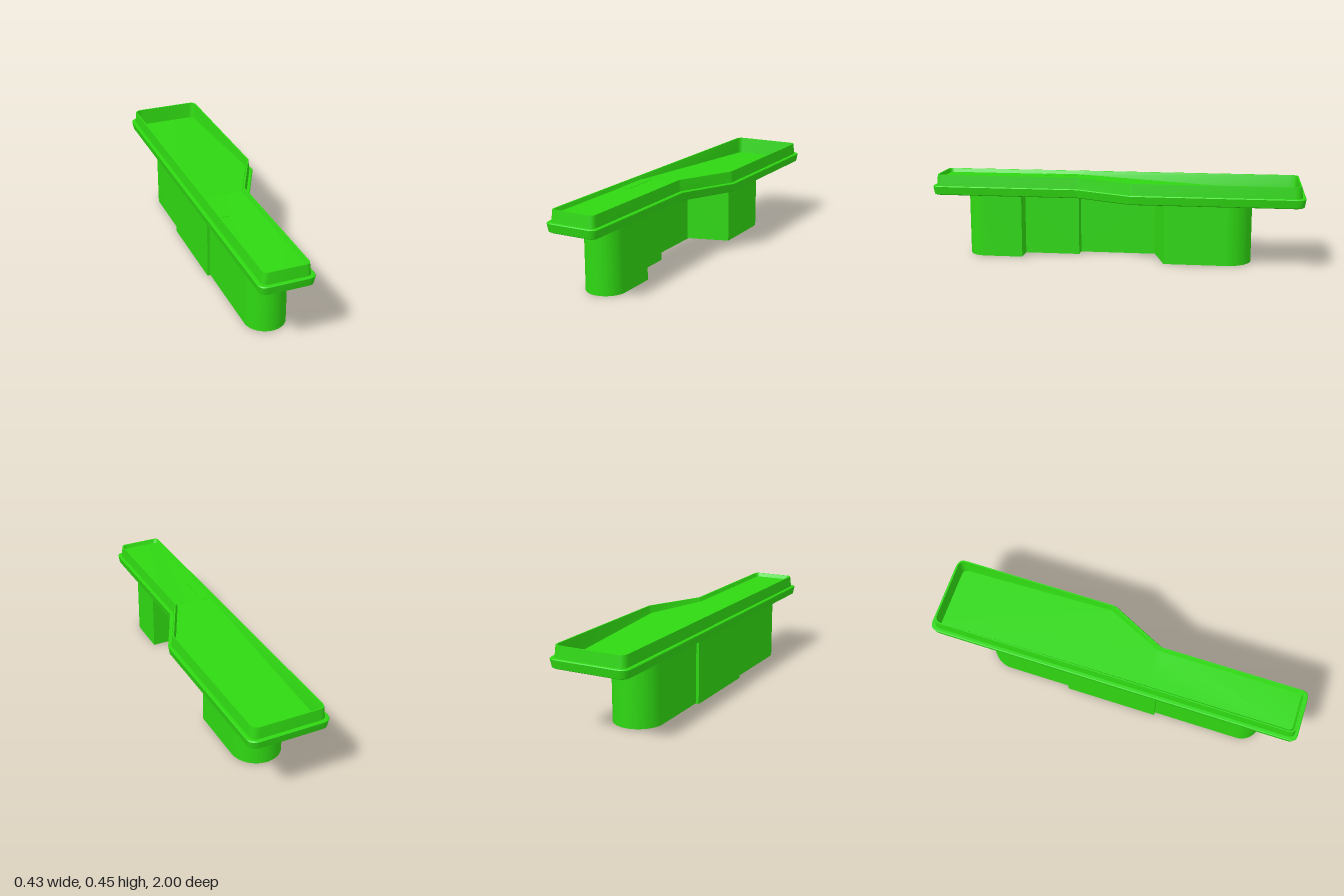
import * as THREE from 'three';
import { toCreasedNormals } from 'three/addons/utils/BufferGeometryUtils.js';

const green = new THREE.MeshStandardMaterial({ color: 0x2fd812 });

// Plan corners of the tray: [x, z, corner radius], counter-clockwise from above
const CORNERS = [
  [-0.215, 1, 0.04], [0.068, 1, 0.04], [0.068, 0.2, 0.01], [0.215, -0.1, 0.01],
  [0.215, -1, 0.05], [-0.215, -1, 0.05], [-0.215, 0.2, 0.01],
];
const STEPS = 6;
const KINK = 0.2;

// The floor is shallow at the narrow end and deepens towards the wide end
const floorY = (z) => 0.43 - 0.07 * THREE.MathUtils.clamp((KINK - z) / 1.15, 0, 1);

// Rounded plan outline, moved inwards by a given amount
function outline(inset) {
  const n = CORNERS.length;
  const corners = CORNERS.map(([x, z], i) => {
    const p = new THREE.Vector2(x, z);
    const normal = (a, b) => {
      const d = new THREE.Vector2(b[0] - a[0], b[1] - a[1]).normalize();
      return new THREE.Vector2(d.y, -d.x);
    };
    const n1 = normal(CORNERS[(i + n - 1) % n], CORNERS[i]);
    const n2 = normal(CORNERS[i], CORNERS[(i + 1) % n]);
    const m = n1.clone().add(n2);
    return p.add(m.multiplyScalar(inset / (1 + n1.dot(n2))));
  });
  const points = [];
  corners.forEach((c, i) => {
    const r = Math.max(CORNERS[i][2] - inset * 0.5, 0.006);
    const toward = (q) => c.clone().add(q.clone().sub(c).setLength(r));
    const a = toward(corners[(i + n - 1) % n]);
    const b = toward(corners[(i + 1) % n]);
    points.push(...new THREE.QuadraticBezierCurve(a, c, b).getPoints(STEPS - 1));
  });
  return points;
}

function trayGeometry() {
  // Section of the edge: [inset, height]; a null height follows the floor
  const section = [
    [0.016, 0.34], [0.007, 0.345], [0, 0.386], [0.004, 0.39], [0.018, 0.39],
    [0.024, 0.45], [0.031, 0.45], [0.04, null],
  ];
  const rings = section.map(([inset, y]) =>
    outline(inset).map((p) => new THREE.Vector3(p.x, y ?? floorY(p.y), p.y)));
  const positions = [];
  const triangle = (...v) => v.forEach((p) => positions.push(p.x, p.y, p.z));
  for (let k = 0; k < rings.length - 1; k++) {
    const a = rings[k], b = rings[k + 1];
    for (let i = 0; i < a.length; i++) {
      const j = (i + 1) % a.length;
      triangle(a[i], a[j], b[j]);
      triangle(a[i], b[j], b[i]);
    }
  }
  const cap = (ring, up) => {
    const flat = ring.map((p) => new THREE.Vector2(p.x, p.z));
    for (const [i, j, k] of THREE.ShapeUtils.triangulateShape(flat, [])) {
      const [a, b, c] = [ring[i], ring[j], ring[k]];
      const facing = b.clone().sub(a).cross(c.clone().sub(a)).y;
      if (facing * up > 0) triangle(a, b, c);
      else triangle(a, c, b);
    }
  };
  // Underside, then the floor in two halves joined at the kink
  cap(rings[0], -1);
  const floor = rings[rings.length - 1];
  const right = 2 * STEPS + 2, left = 6 * STEPS + 2;
  cap(floor.slice(right, left + 1), 1);
  cap([...floor.slice(left), ...floor.slice(0, right + 1)], 1);

  const geometry = new THREE.BufferGeometry();
  geometry.setAttribute('position', new THREE.Float32BufferAttribute(positions, 3));
  return toCreasedNormals(geometry, 0.6);
}

// Upright solid from a plan shape whose y runs along -z
function upright(shape, bottom, top) {
  const geometry = new THREE.ExtrudeGeometry(shape, {
    depth: top - bottom, bevelEnabled: false, curveSegments: 24,
  });
  geometry.rotateX(-Math.PI / 2).translate(0, bottom, 0);
  return toCreasedNormals(geometry, 0.6);
}

export function createModel() {
  const group = new THREE.Group();
  const add = (name, geometry) => {
    const mesh = new THREE.Mesh(geometry, green);
    mesh.name = name;
    group.add(mesh);
    return mesh;
  };

  add('tray', trayGeometry());

  // Front leg: rounded at the front, stepped in on its right-hand rear
  const front = new THREE.Shape();
  front.moveTo(-0.17, -0.21);
  front.lineTo(-0.17, -0.715);
  front.absarc(-0.065, -0.715, 0.105, Math.PI, Math.PI * 2, false);
  front.lineTo(0.04, -0.51);
  front.lineTo(-0.06, -0.51);
  front.lineTo(-0.06, -0.21);
  front.closePath();
  add('frontLeg', upright(front, 0.003, 0.345));

  // Back leg: slanted front face, rounded back
  const back = new THREE.Shape();
  back.moveTo(-0.17, 0.19);
  back.lineTo(0.095, 0.27);
  back.lineTo(0.095, 0.598);
  back.absarc(-0.0375, 0.598, 0.1325, 0, Math.PI, false);
  back.closePath();
  add('backLeg', upright(back, 0.003, 0.345));

  // Wall joining the two legs
  add('connectingWall', new THREE.BoxGeometry(0.055, 0.345, 0.5)).position.set(-0.1575, 0.1725, 0);

  // Slightly raised patch on the narrow floor
  add('floorPatch', new THREE.BoxGeometry(0.055, 0.01, 0.21)).position.set(-0.1525, 0.4265, 0.305);

  return group;
}
